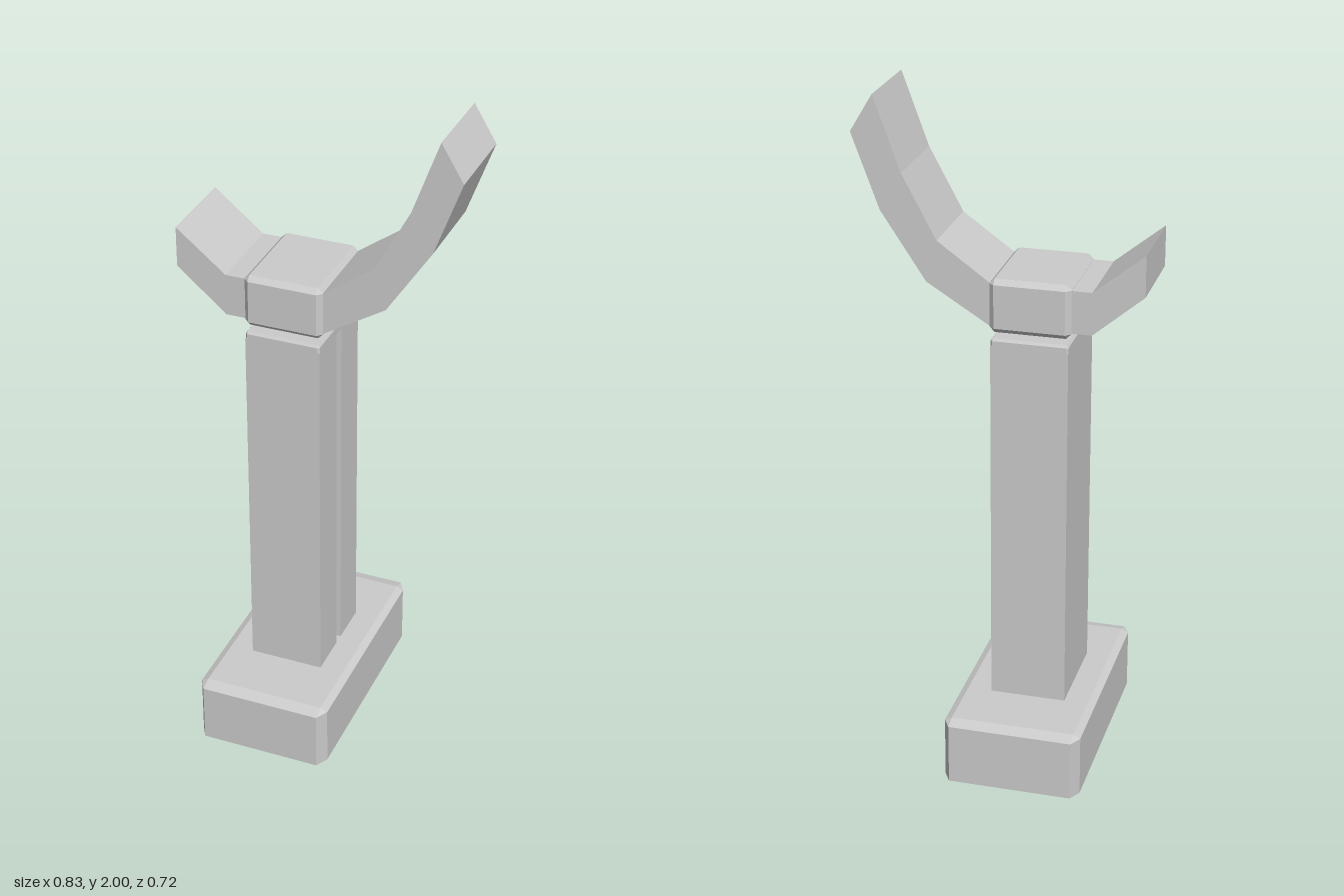
import * as THREE from 'three';
import { ConvexGeometry } from 'three/addons/geometries/ConvexGeometry.js';

const material = new THREE.MeshStandardMaterial({ color: 0xcccccc, flatShading: true });

function part(name, geometry) {
  const mesh = new THREE.Mesh(geometry, material);
  mesh.name = name;
  return mesh;
}

// Box between two corners with every edge cut by the bevel [x, y, z]
function bevelledBox(name, min, max, bevel) {
  const centre = min.map((v, i) => (v + max[i]) / 2);
  const half = min.map((v, i) => (max[i] - v) / 2);
  const points = [];
  for (const sx of [-1, 1]) for (const sy of [-1, 1]) for (const sz of [-1, 1]) {
    const sign = [sx, sy, sz];
    for (let full = 0; full < 3; full++) {
      points.push(new THREE.Vector3(...sign.map((s, i) =>
        centre[i] + s * (half[i] - (i === full ? 0 : bevel[i])))));
    }
  }
  return part(name, new ConvexGeometry(points));
}

function extrude(outline, depth) {
  const shape = new THREE.Shape(outline.map(([x, y]) => new THREE.Vector2(x, y)));
  return new THREE.ExtrudeGeometry(shape, { depth, bevelEnabled: false });
}

export function createModel() {
  const group = new THREE.Group();

  // Foot
  group.add(bevelledBox('base', [-0.296, 0, -0.36], [0.11, 0.205, 0.358], [0.021, 0.011, 0.037]));

  // Post with a narrow groove down its +x face
  const [x0, x1, z, grooveZ, grooveX] = [-0.205, 0.018, 0.147, 0.018, 0.0];
  const post = extrude([
    [x0, -z], [x1, -z], [x1, -grooveZ], [grooveX, -grooveZ],
    [grooveX, grooveZ], [x1, grooveZ], [x1, z], [x0, z],
  ], 1.11).rotateX(-Math.PI / 2).translate(0, 0.2, 0);
  group.add(part('post', post));
  group.add(bevelledBox('postTop', [x0, 1.295, -z], [x1, 1.333, z], [0.006, 0.008, 0.006]));

  // Head block floating just above the post
  group.add(bevelledBox('head', [-0.21, 1.348, -0.149], [0.023, 1.506, 0.146], [0.015, 0.015, 0.015]));

  // Short bent arm and long curved arm
  const arms = {
    shortArm: [[-0.415, 1.49], [-0.268, 1.365], [-0.19, 1.365], [-0.19, 1.49], [-0.268, 1.49], [-0.415, 1.61]],
    longArm: [[0.005, 1.355], [0.02, 1.363], [0.205, 1.478], [0.335, 1.675], [0.415, 1.892],
      [0.35, 2], [0.272, 1.785], [0.173, 1.6], [0.02, 1.49], [0.005, 1.48]],
  };
  for (const [name, outline] of Object.entries(arms)) {
    group.add(part(name, extrude(outline, 0.264).translate(0, 0, -0.134)));
  }
  return group;
}
